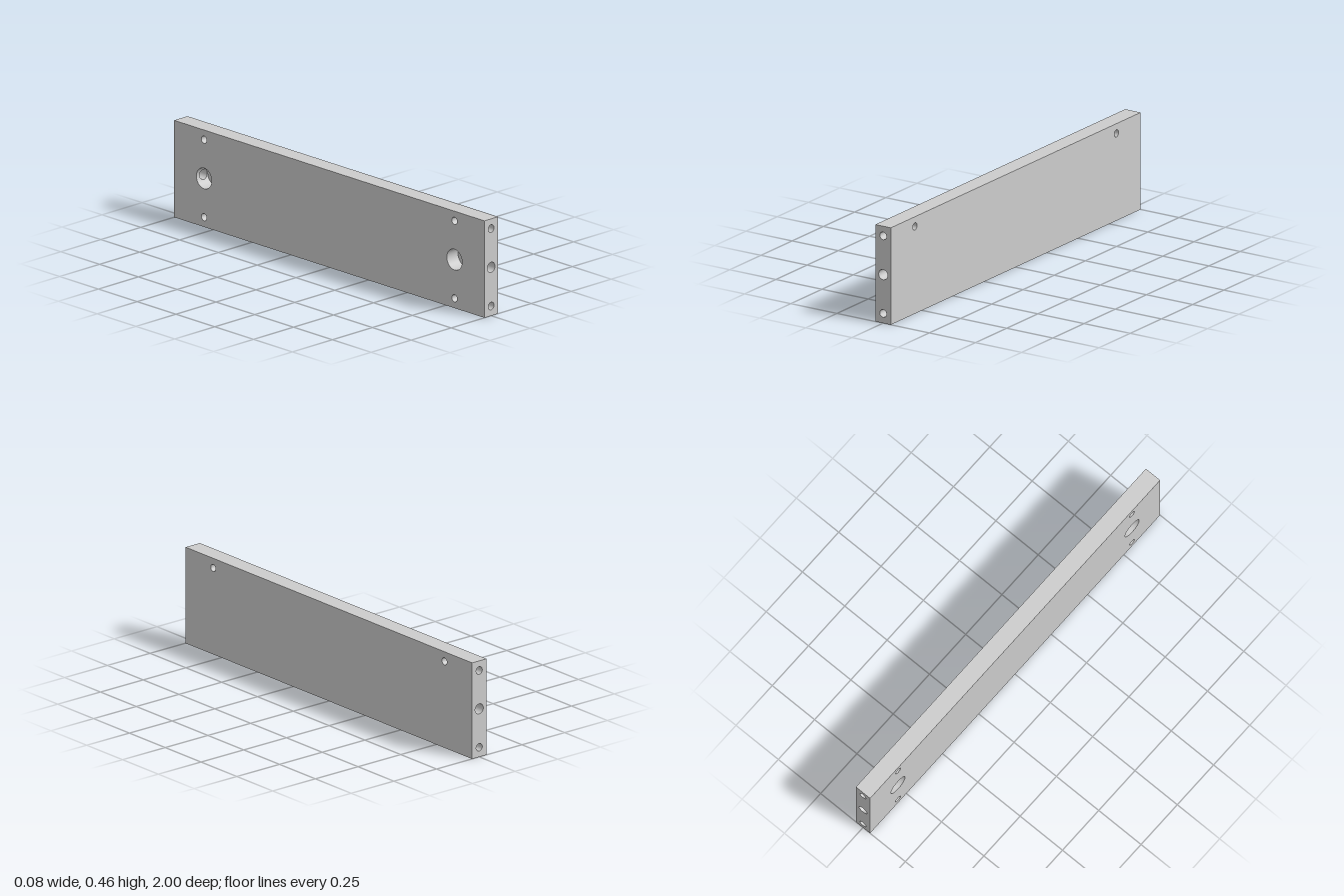
import * as THREE from 'three';
import { ParametricGeometry } from 'three/addons/geometries/ParametricGeometry.js';

const T = 0.084, H = 0.458, L = 2;          // thickness, height, length
const HOLE_Z = 0.807, ROW = 0.183;          // hole columns and rows from the centre
const POCKET_R = 0.049, POCKET_DEPTH = 0.07, BORE_R = 0.024;
const SEG = 48;

const solid = new THREE.MeshStandardMaterial({ color: 0xcccccc });
const inner = new THREE.MeshStandardMaterial({ color: 0xcccccc, side: THREE.DoubleSide });

function add(parent, name, geometry, material = solid) {
  const mesh = new THREE.Mesh(geometry, material);
  mesh.name = name;
  parent.add(mesh);
  return mesh;
}

// A flat face (outward = local +z) with round holes drilled into it.
// kind: 'blind' = wall and floor, 'through' = wall only, 'floor' = floor only, 'open' = cut only
function drilledFace(name, w, h, dist, holes) {
  const group = new THREE.Group();
  group.name = name;
  const shape = new THREE.Shape([
    new THREE.Vector2(-w / 2, -h / 2), new THREE.Vector2(w / 2, -h / 2),
    new THREE.Vector2(w / 2, h / 2), new THREE.Vector2(-w / 2, h / 2)]);
  for (const { x, y, r, depth, kind } of holes) {
    shape.holes.push(new THREE.Path().absarc(x, y, r, 0, Math.PI * 2, true));
    if (kind === 'blind' || kind === 'through') {
      const wall = new THREE.CylinderGeometry(r, r, depth, SEG, 1, true).rotateX(Math.PI / 2);
      add(group, 'holeWall', wall, inner).position.set(x, y, dist - depth / 2);
    }
    if (kind === 'blind' || kind === 'floor') {
      add(group, 'holeFloor', new THREE.CircleGeometry(r, SEG)).position.set(x, y, dist - depth);
    }
  }
  add(group, name + 'Surface', new THREE.ShapeGeometry(shape, SEG / 2)).position.z = dist;
  return group;
}

export function createModel() {
  const model = new THREE.Group();
  model.name = 'drilledPanel';
  const board = new THREE.Group();
  board.name = 'board';
  board.position.y = H / 2;
  model.add(board);

  // Broad sides: through holes along the top, pockets and blind holes on one side only
  const rightHoles = [], leftHoles = [];
  for (const x of [-HOLE_Z, HOLE_Z]) {
    rightHoles.push({ x, y: ROW, r: 0.017, kind: 'open' });
    leftHoles.push(
      { x, y: ROW, r: 0.017, depth: T, kind: 'through' },
      { x, y: 0, r: POCKET_R, depth: POCKET_DEPTH, kind: 'floor' },
      { x, y: -ROW, r: 0.017, depth: 0.05, kind: 'blind' });
  }
  const plainSide = drilledFace('plainSide', L, H, T / 2, rightHoles);
  plainSide.rotation.y = Math.PI / 2;
  const pocketSide = drilledFace('pocketSide', L, H, T / 2, leftHoles);
  pocketSide.rotation.y = -Math.PI / 2;
  board.add(plainSide, pocketSide);

  // Top and bottom edges
  add(board, 'topEdge', new THREE.PlaneGeometry(T, L).rotateX(-Math.PI / 2)).position.y = H / 2;
  add(board, 'bottomEdge', new THREE.PlaneGeometry(T, L).rotateX(Math.PI / 2)).position.y = -H / 2;

  for (const s of [1, -1]) {
    // End faces with two dowel holes and a central bore
    const end = drilledFace(s > 0 ? 'frontEnd' : 'backEnd', T, H, L / 2, [
      { x: 0, y: ROW, r: 0.018, depth: 0.1, kind: 'blind' },
      { x: 0, y: 0, r: BORE_R, kind: 'open' },
      { x: 0, y: -ROW, r: 0.018, depth: 0.1, kind: 'blind' }]);
    if (s < 0) end.rotation.y = Math.PI;
    board.add(end);

    // Central bore, ending on the round wall of the pocket
    add(board, 'centralBore', new ParametricGeometry((u, v, p) => {
      const a = u * Math.PI * 2, y = BORE_R * Math.sin(a);
      const start = HOLE_Z + Math.sqrt(POCKET_R ** 2 - y * y);
      p.set(BORE_R * Math.cos(a), y, s * THREE.MathUtils.lerp(start, L / 2, v));
    }, SEG, 1), inner);

    // Pocket wall in two bands that part around the bore opening
    for (const [side, edge] of [[-1, -T / 2], [1, -T / 2 + POCKET_DEPTH]]) {
      add(board, 'pocketWall', new ParametricGeometry((u, v, p) => {
        const a = (u * 2 - 1) * Math.PI, y = POCKET_R * Math.sin(a);
        const gap = Math.cos(a) > 0 ? Math.sqrt(Math.max(0, BORE_R ** 2 - y * y)) : 0;
        p.set(THREE.MathUtils.lerp(side * gap, edge, v), y, s * (HOLE_Z + POCKET_R * Math.cos(a)));
      }, 144, 1), inner);
    }
  }
  return model;
}
